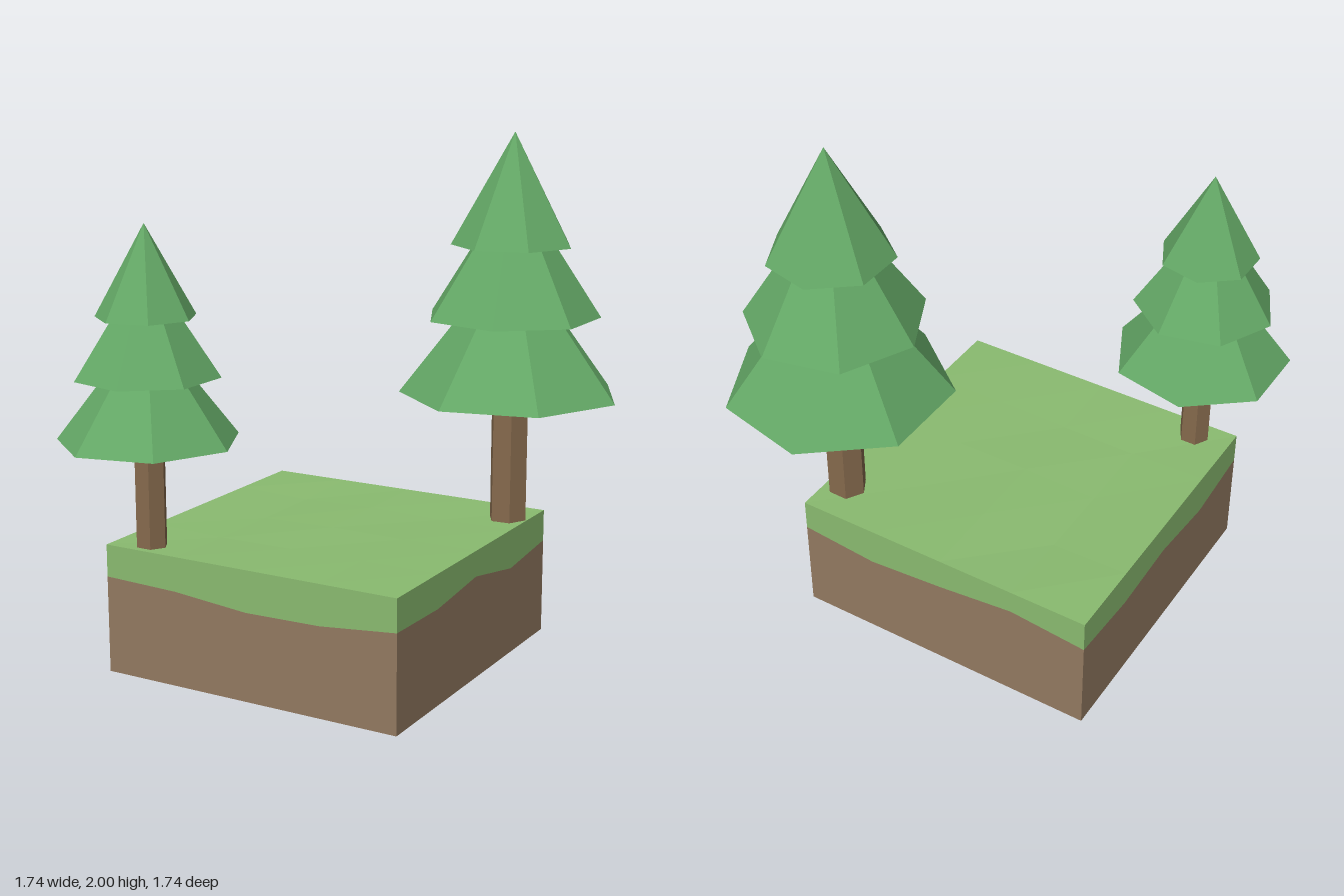
import * as THREE from 'three';
import { mergeGeometries } from 'three/addons/utils/BufferGeometryUtils.js';

const mat = (color) => new THREE.MeshStandardMaterial({ color, flatShading: true });
const grassMat = mat(0x8abb70);
const dirtMat = mat(0x937a61);
const leafMat = mat(0x64a866);
const trunkMat = mat(0x866a4d);

const SIZE = 1.23, HALF = SIZE / 2, TOP = 0.5, SEG = 4;

function mesh(name, geometry, material) {
  const m = new THREE.Mesh(geometry, material);
  m.name = name;
  return m;
}

// Height of the grass edge around the block: front, right-hand, back, left-hand side
const grassEdge = [
  0.375, 0.367, 0.34, 0.345,
  0.375, 0.368, 0.4, 0.345,
  0.375, 0.345, 0.37, 0.405,
  0.375, 0.35, 0.37, 0.335,
];

// Point i of the walk round the block, starting at the front corner on -x
function rimPoint(i) {
  const corners = [[-HALF, HALF], [HALF, HALF], [HALF, -HALF], [-HALF, -HALF]];
  const side = Math.floor(i / SEG) % 4, t = (i % SEG) / SEG;
  const a = corners[side], b = corners[(side + 1) % 4];
  return [a[0] + (b[0] - a[0]) * t, a[1] + (b[1] - a[1]) * t];
}

// Wall strip between two heights, each given as a function of the rim index
function wall(low, high) {
  const pos = [];
  const n = grassEdge.length;
  for (let i = 0; i < n; i++) {
    const j = (i + 1) % n;
    const [ax, az] = rimPoint(i), [bx, bz] = rimPoint(j);
    const a0 = [ax, low(i), az], b0 = [bx, low(j), bz];
    const a1 = [ax, high(i), az], b1 = [bx, high(j), bz];
    pos.push(...a0, ...b0, ...b1, ...a0, ...b1, ...a1);
  }
  const g = new THREE.BufferGeometry();
  g.setAttribute('position', new THREE.Float32BufferAttribute(pos, 3));
  g.computeVertexNormals();
  return g;
}

function plain(geometry) {
  const g = geometry.toNonIndexed();
  g.deleteAttribute('uv');
  return g;
}

function createGround() {
  const ground = new THREE.Group();
  ground.name = 'ground';

  // Grass top, with very slight hollows away from the rim
  const top = new THREE.PlaneGeometry(SIZE, SIZE, SEG, SEG).rotateX(-Math.PI / 2);
  const p = top.attributes.position;
  for (let i = 0; i < p.count; i++) {
    const inside = Math.max(Math.abs(p.getX(i)), Math.abs(p.getZ(i))) < HALF - 0.01;
    p.setY(i, TOP - (inside ? 0.005 * (1 + Math.sin(i * 2.4)) : 0));
  }
  const edge = (i) => grassEdge[i];
  ground.add(mesh('grass', mergeGeometries([plain(top), stripUv(wall(edge, () => TOP))]), grassMat));

  // Soil block
  const base = new THREE.PlaneGeometry(SIZE, SIZE).rotateX(Math.PI / 2);
  ground.add(mesh('soil', mergeGeometries([plain(base), stripUv(wall(() => 0, edge))]), dirtMat));
  ground.position.set(-0.097, 0, -0.003);
  return ground;
}

function stripUv(g) {
  g.deleteAttribute('uv');
  return g;
}

// Pine of three seven-sided cones, each turned half a step from the one below
function createTree(name, x, z, scale) {
  const tree = new THREE.Group();
  tree.name = name;
  const trunk = mesh('trunk', new THREE.CylinderGeometry(0.076, 0.076, 0.53, 6, 1, false, Math.PI / 2), trunkMat);
  trunk.position.y = 0.235;
  tree.add(trunk);

  const tiers = [
    [0.43, 0.5, 0.56],
    [0.34, 0.8, 0.52],
    [0.236, 1.075, 0.425],
  ];
  tiers.forEach(([radius, y, height], i) => {
    const start = i % 2 ? -Math.PI / 2 : Math.PI / 2;
    const cone = mesh('foliage' + (i + 1), new THREE.ConeGeometry(radius, height, 7, 1, false, start), leafMat);
    cone.position.y = y + height / 2;
    tree.add(cone);
  });
  tree.position.set(x, TOP, z);
  tree.scale.setScalar(scale);
  return tree;
}

export function createModel() {
  const model = new THREE.Group();
  model.name = 'forestBlock';
  model.add(
    createGround(),
    createTree('largePine', 0.437, -0.45, 1),
    createTree('smallPine', -0.562, 0.531, 0.8),
  );
  return model;
}
